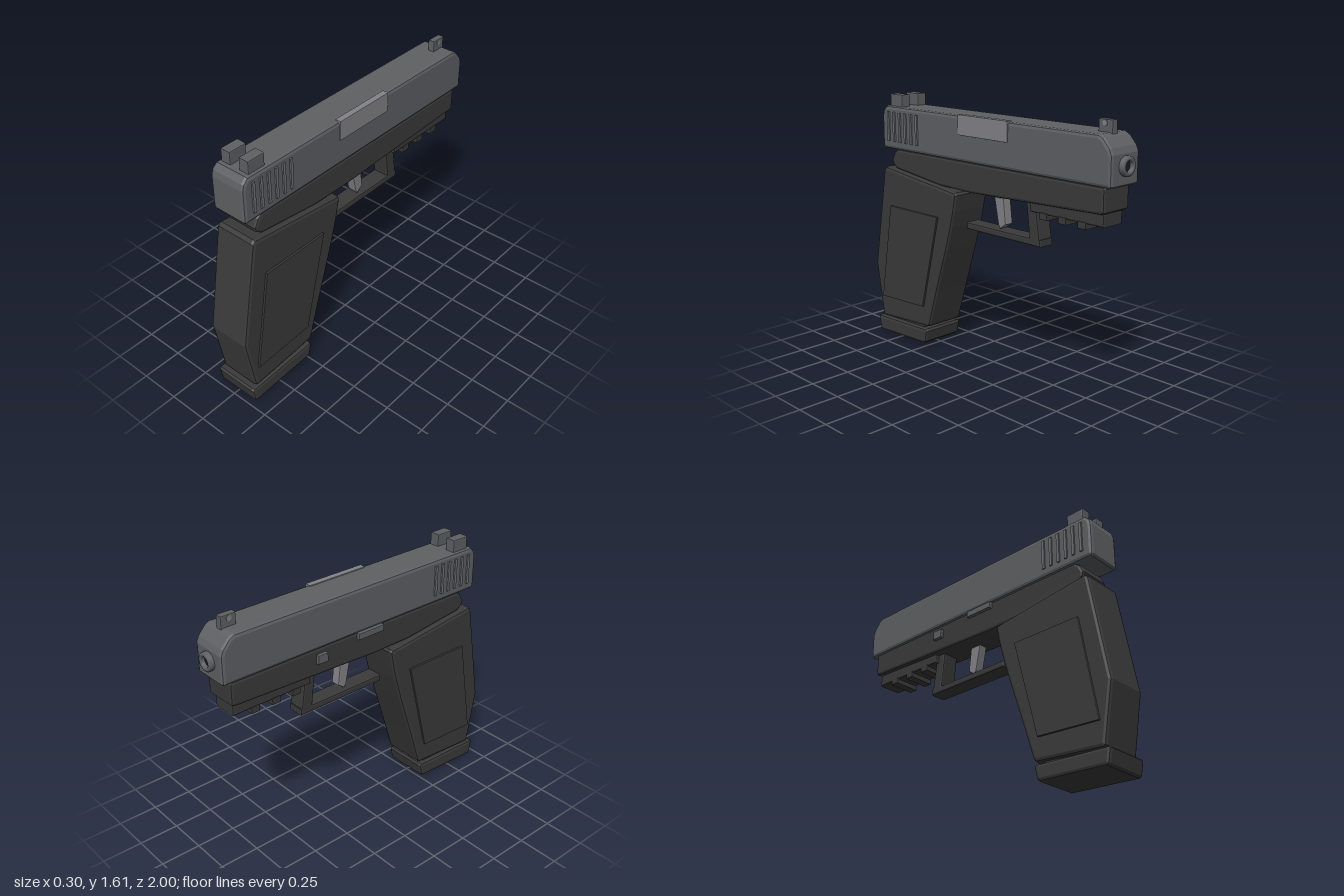
import * as THREE from 'three';

const mat = (name, color, side = THREE.FrontSide) => {
  const m = new THREE.MeshStandardMaterial({ color, side });
  m.name = name;
  return m;
};

export function createModel() {
  const group = new THREE.Group();
  const CX = -0.003; // shared centre plane

  const slideGrey = mat('slide grey', 0x5e6063);
  const frameGrey = mat('frame charcoal', 0x3a3a3b);
  const lightGrey = mat('light metal', 0x838387);
  const serrationGrey = mat('serration grey', 0x6e6f72);
  const boreBlack = mat('bore black', 0x1c1c1e);

  const add = (name, geometry, material) => {
    const mesh = new THREE.Mesh(geometry, material);
    mesh.name = name;
    group.add(mesh);
    return mesh;
  };

  // Side outline of [z, y] points, extruded across x with bevelled edges
  const profile = (name, points, width, bevel, material, x = CX) => {
    const shape = new THREE.Shape(points.map(([z, y]) => new THREE.Vector2(z, y)));
    const geo = new THREE.ExtrudeGeometry(shape, {
      depth: width - 2 * bevel,
      bevelEnabled: bevel > 0,
      bevelThickness: bevel,
      bevelSize: bevel,
      bevelOffset: -bevel,
      bevelSegments: 2,
    });
    geo.translate(0, 0, -(width - 2 * bevel) / 2);
    geo.rotateY(-Math.PI / 2);
    geo.translate(x, 0, 0);
    return add(name, geo, material);
  };

  // Box from its ranges, with a small bevel
  const block = (name, [x0, x1], [y0, y1], [z0, z1], bevel, material) =>
    profile(name, [[z0, y0], [z1, y0], [z1, y1], [z0, y1]], x1 - x0, bevel, material, (x0 + x1) / 2);

  // Slide
  profile('slide', [
    [0.9, 1.255], [0.91, 1.27], [0.91, 1.465], [0.9, 1.5], [0.87, 1.53],
    [-0.88, 1.53], [-0.91, 1.515], [-0.955, 1.465], [-0.97, 1.43], [-0.97, 1.265], [-0.96, 1.255],
  ], 0.235, 0.02, slideGrey);

  // Rear grip serrations on both sides of the slide
  for (const side of [-1, 1]) {
    for (let i = 0; i < 6; i++) {
      const rib = add('slideSerration', new THREE.BoxGeometry(0.02, 0.19, 0.018), serrationGrey);
      rib.position.set(CX + side * 0.117, 1.4, 0.84 - i * 0.055);
    }
  }

  block('ejectionPort', [0.083, 0.122], [1.415, 1.536], [-0.23, 0.18], 0.002, lightGrey);

  // Sights
  for (const side of [-1, 1]) {
    const x = CX + side * 0.065;
    block('rearSight', [x - 0.033, x + 0.033], [1.52, 1.605], [0.73, 0.845], 0.006, slideGrey);
  }
  block('frontSight', [CX - 0.021, CX + 0.021], [1.52, 1.597], [-0.895, -0.8], 0.005, slideGrey);
  const dot = add('frontSightPin', new THREE.CylinderGeometry(0.016, 0.016, 0.05, 12), lightGrey);
  dot.rotation.z = Math.PI / 2;
  dot.position.set(CX, 1.577, -0.845);

  // Muzzle ring with a dark bore
  const ring = add('muzzleRing', new THREE.LatheGeometry([
    [0.055, -0.02], [0.055, 0.022], [0.047, 0.03], [0.036, 0.03], [0.03, 0.024], [0.03, 0.004],
  ].map(([r, h]) => new THREE.Vector2(r, h)), 24), slideGrey);
  ring.material = mat('slide grey two sided', 0x5e6063, THREE.DoubleSide);
  ring.rotation.x = -Math.PI / 2;
  ring.position.set(CX, 1.365, -0.97);
  const bore = add('bore', new THREE.CircleGeometry(0.031, 24), boreBlack);
  bore.rotation.y = Math.PI;
  bore.position.set(CX, 1.365, -0.976);

  // Frame under the slide
  profile('frame', [
    [0.78, 1.258], [0.81, 1.235], [0.835, 1.185], [0.825, 1.155], [0.79, 1.13],
    [0.37, 1.078], [0.1, 1.073], [-0.9, 1.108], [-0.92, 1.12], [-0.92, 1.245], [-0.91, 1.258],
  ], 0.215, 0.016, frameGrey);

  // Accessory rail and its teeth
  block('accessoryRail', [CX - 0.08, CX + 0.08], [1.035, 1.115], [-0.9, -0.37], 0.01, frameGrey);
  for (let i = 0; i < 3; i++) {
    const z = -0.475 - i * 0.14;
    block('railTooth', [CX - 0.085, CX + 0.085], [1.005, 1.045], [z - 0.028, z + 0.028], 0.003, frameGrey);
  }

  // Grip with raised side panels
  profile('grip', [
    [0.865, 1.138], [0.885, 1.12], [1.0, 0.465], [0.94, 0.115], [0.925, 0.105],
    [0.48, 0.137], [0.462, 0.155], [0.385, 0.4], [0.29, 0.69], [0.245, 0.84],
    [0.22, 0.94], [0.198, 1.045], [0.21, 1.06],
  ], 0.274, 0.02, frameGrey);
  for (const side of [-1, 1]) {
    profile('gripPanel', [[0.81, 0.888], [0.353, 0.888], [0.507, 0.272], [0.918, 0.252]],
      0.02, 0.002, frameGrey, CX + side * 0.14);
  }

  // Magazine base
  profile('magazineBase', [
    [0.965, 0.102], [0.977, 0.09], [0.962, 0.012], [0.95, 0.0], [0.51, 0.02],
    [0.492, 0.035], [0.477, 0.105], [0.487, 0.12],
  ], 0.294, 0.018, frameGrey);
  block('magazineNeck', [CX - 0.115, CX + 0.115], [0.08, 0.17], [0.53, 0.91], 0, frameGrey);

  // Trigger guard: lower bar and slanted front post
  block('triggerGuardBar', [CX - 0.055, CX + 0.055], [0.83, 0.872], [-0.425, 0.187], 0.01, frameGrey);
  profile('triggerGuardPost', [[-0.315, 1.095], [-0.345, 0.845], [-0.422, 0.845], [-0.385, 1.095]],
    0.11, 0.01, frameGrey);

  profile('trigger', [[-0.033, 1.06], [-0.065, 0.9], [-0.08, 0.875], [-0.126, 0.907], [-0.108, 1.06]],
    0.06, 0.005, lightGrey);

  // Controls on the right-hand side
  block('slideStop', [-0.132, -0.1], [1.217, 1.256], [-0.05, 0.14], 0.004, slideGrey);
  block('takedownLever', [-0.132, -0.1], [1.167, 1.222], [-0.35, -0.28], 0.004, slideGrey);

  return group;
}
